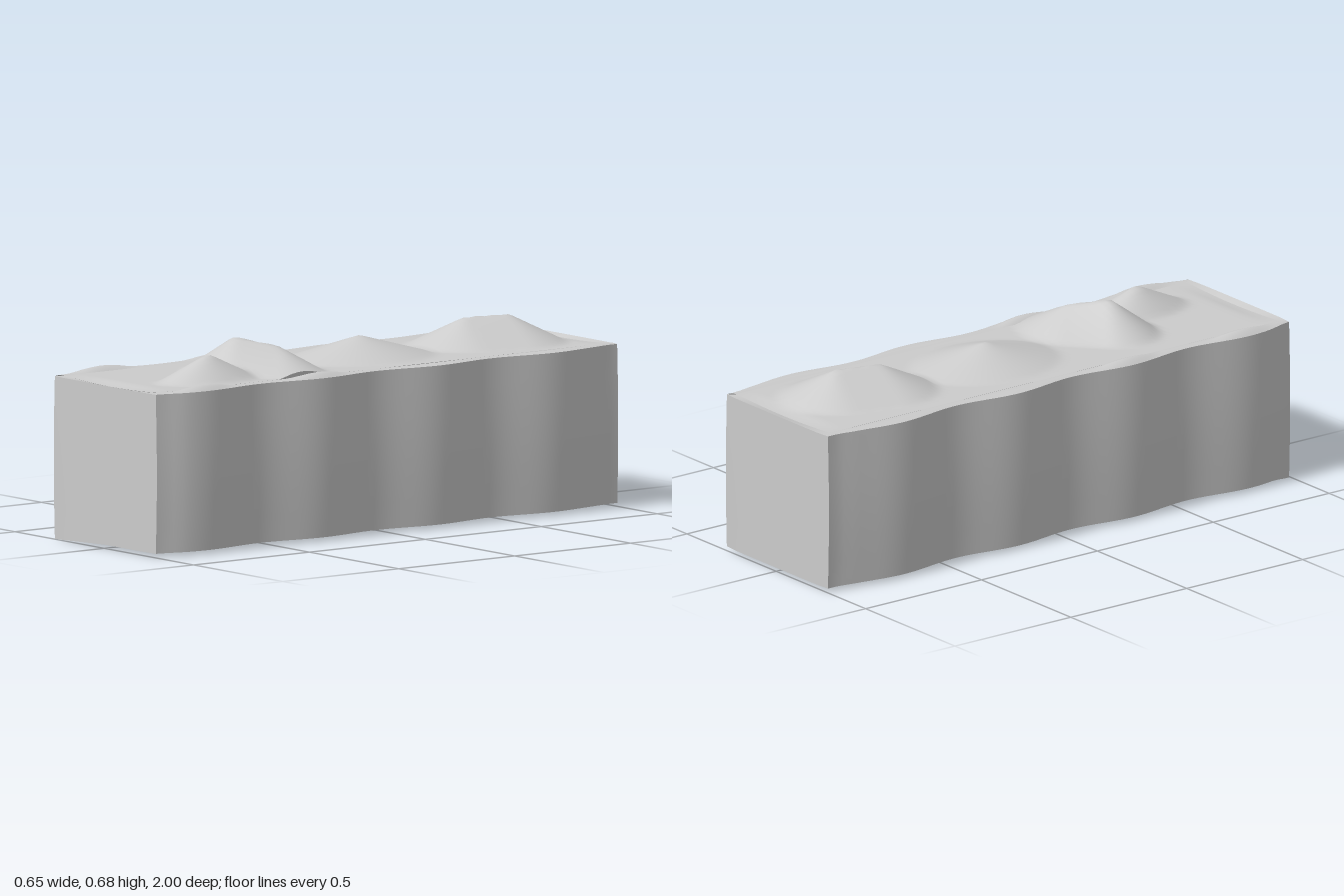
import * as THREE from 'three';

const material = new THREE.MeshStandardMaterial({ color: 0xcccccc, side: THREE.DoubleSide });

// Smooth sheet of nu x nv cells; point(u, v) gives [x, y, z], outward where dU x dV points out
function sheet(name, nu, nv, point) {
  const pos = [], idx = [];
  for (let j = 0; j <= nv; j++)
    for (let i = 0; i <= nu; i++) pos.push(...point(i / nu, j / nv));
  for (let j = 0; j < nv; j++)
    for (let i = 0; i < nu; i++) {
      const a = j * (nu + 1) + i, b = a + 1, c = a + nu + 1, d = c + 1;
      idx.push(a, b, d, a, d, c);
    }
  const g = new THREE.BufferGeometry();
  g.setAttribute('position', new THREE.Float32BufferAttribute(pos, 3));
  g.setIndex(idx);
  g.computeVertexNormals();
  const mesh = new THREE.Mesh(g, material);
  mesh.name = name;
  return mesh;
}

const TOP = 0.562, INNER_X = 0.256, INNER_Z = 0.965;

// Rippled outline of the long walls
const wave = z => Math.cos((z + 0.2) * Math.PI * 4);
const halfWidth = z =>
  0.306 + 0.014 * wave(z) - 0.012 * THREE.MathUtils.smoothstep(Math.abs(z), 0.88, 1);
const bulge = y => 0.006 * Math.sin(Math.PI * Math.min(1, y / TOP));

// Bottom edge, with one front corner hanging slightly lower
const bottom = (x, z) =>
  0.013 - 0.013 * THREE.MathUtils.smoothstep(z, 0.9, 1) * Math.max(0, -x / 0.285);

// Mounds: ridge from a to b ([x, z, height]) with footprint radii rx, rz
const mounds = [
  { a: [0.125, 0.65, 0.092], b: [0.125, 0.65, 0.092], rx: 0.12, rz: 0.2 },
  { a: [0, 0.44, 0.119], b: [0.11, 0.34, 0.092], rx: 0.19, rz: 0.16 },
  { a: [0, -0.1, 0.076], b: [0, -0.1, 0.076], rx: 0.22, rz: 0.28 },
  { a: [-0.01, -0.56, 0.096], b: [0.03, -0.72, 0.098], rx: 0.2, rz: 0.2 },
];
function soilHeight(x, z) {
  let h = 0;
  for (const { a, b, rx, rz } of mounds) {
    const ex = (b[0] - a[0]) / rx, ez = (b[1] - a[1]) / rz;
    const px = (x - a[0]) / rx, pz = (z - a[1]) / rz;
    const len = ex * ex + ez * ez;
    const t = len ? THREE.MathUtils.clamp((px * ex + pz * ez) / len, 0, 1) : 0;
    const d = Math.hypot(px - t * ex, pz - t * ez);
    h = Math.max(h, (a[2] + t * (b[2] - a[2])) * (1 - d));
  }
  return TOP + 0.002 + h;
}

export function createModel() {
  const group = new THREE.Group();
  group.name = 'planter';

  for (const s of [1, -1]) {
    const side = s > 0 ? 'left' : 'right';
    const end = s > 0 ? 'front' : 'back';

    // Long rippled wall
    group.add(sheet(side + 'Wall', 64, 6, (u, v) => {
      const z = s * (1 - 2 * u);
      const y0 = bottom(s * 0.285, z), y = y0 + v * (TOP - y0);
      return [s * (halfWidth(z) + bulge(y)), y, z * 0.995];
    }));

    // Flat end wall
    group.add(sheet(end + 'Wall', 10, 6, (u, v) => {
      const k = s * (2 * u - 1);
      const y0 = bottom(k * 0.285, s), y = y0 + v * (TOP - y0);
      const round = 0.005 * Math.pow(Math.abs(k), 8);
      return [k * (halfWidth(1) + bulge(y)), y, s * (1 - round)];
    }));

    // Rolled lip along the long wall
    group.add(sheet(side + 'Rim', 64, 4, (u, v) => {
      const z = s * (1 - 2 * u);
      const crest = 0.004 + (z > 0 ? 0.014 * Math.max(0, wave(z)) : 0);
      const x = THREE.MathUtils.lerp(halfWidth(z), INNER_X, v);
      return [s * x, TOP + crest * Math.sin(Math.PI * v), z * (0.995 - 0.025 * v)];
    }));

    // Thin lip along the end wall, sagging in the middle
    group.add(sheet(end + 'Rim', 10, 3, (u, v) => {
      const k = s * (2 * u - 1);
      const x = k * THREE.MathUtils.lerp(halfWidth(1), INNER_X, v);
      const z = 1 - 0.005 * Math.pow(Math.abs(k), 8);
      return [x, TOP - 0.009 * v * (1 - k * k), s * THREE.MathUtils.lerp(z, INNER_Z, v)];
    }));
  }

  // Soil surface with heaped mounds
  group.add(sheet('soil', 32, 100, (u, v) => {
    const x = (2 * u - 1) * (INNER_X + 0.004), z = (1 - 2 * v) * (INNER_Z + 0.005);
    const sag = 0.009 * THREE.MathUtils.smoothstep(Math.abs(z), 0.9, 0.97) * (1 - (x / 0.26) ** 2);
    return [x, soilHeight(x, z) - sag, z];
  }));

  return group;
}
